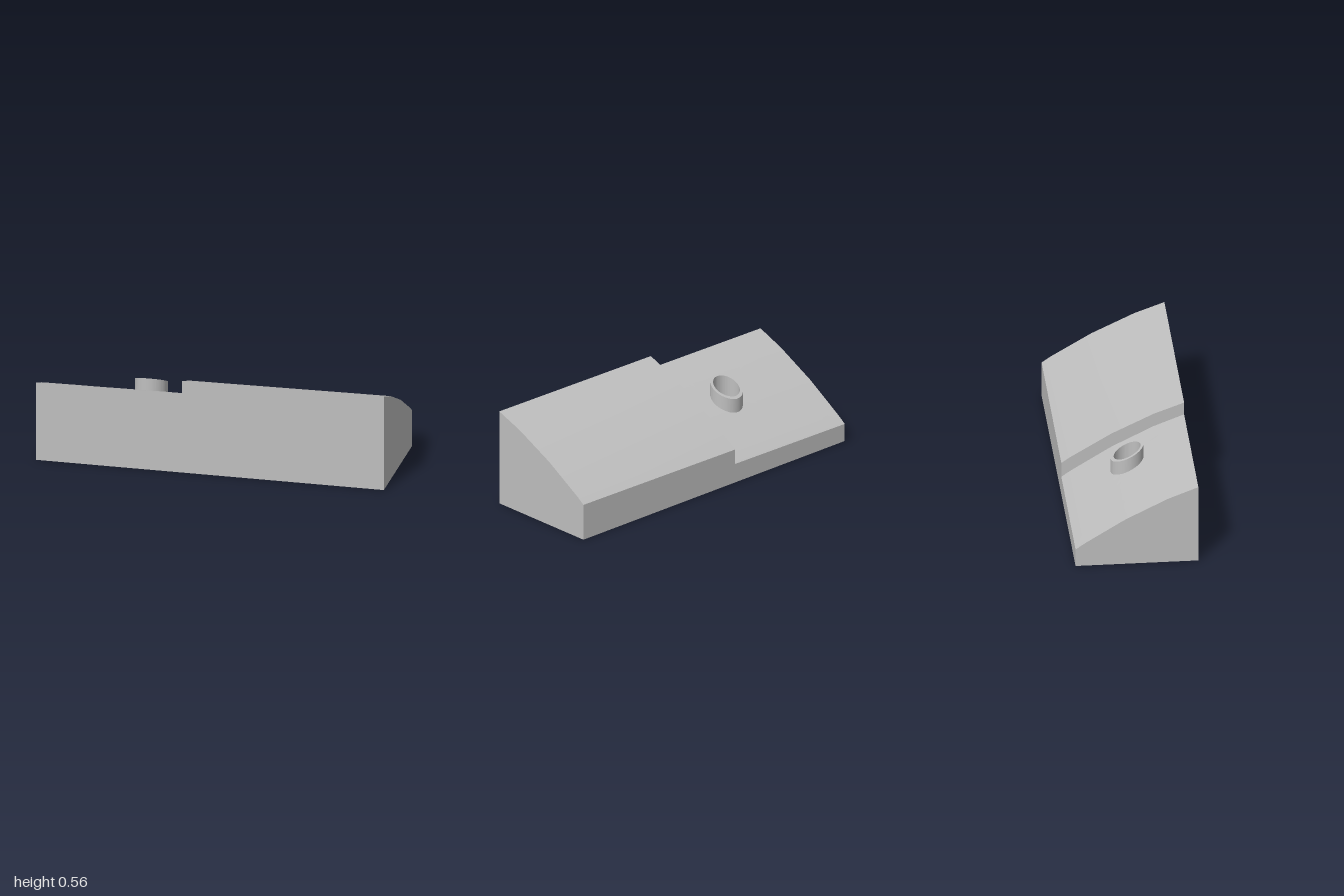
import * as THREE from 'three';
import { toCreasedNormals } from 'three/addons/utils/BufferGeometryUtils.js';

const STEP_X = -0.16, HALF_Z = 0.345;
const HOLE = { x: -0.417, inner: 0.075, outer: 0.092 };
const PROFILE = [[0.345, 0.562], [0.175, 0.5], [-0.065, 0.385], [-0.3, 0.245], [-0.345, 0.213]];
const tilt = (x) => 0.0103 * (x - 1);

// Height of the raised surface: a bent slope in z, tilted slightly in x
function highY(x, z) {
  let i = 0;
  while (i < PROFILE.length - 2 && z < PROFILE[i + 1][0]) i++;
  const [z0, y0] = PROFILE[i], [z1, y1] = PROFILE[i + 1];
  return y0 + (y1 - y0) * (z - z0) / (z1 - z0) + tilt(x);
}
// The lowered surface runs parallel beneath it
const lowY = (x, z) => highY(x, z) - (0.0815 - 0.019 * z);

// Skin closed rows of points, keeping hard edges sharp
function loft(rows) {
  const n = rows[0].length, idx = [];
  for (let r = 0; r < rows.length - 1; r++) {
    for (let j = 0; j < n; j++) {
      const k = (j + 1) % n;
      const a = r * n + j, b = r * n + k, c = (r + 1) * n + k, d = (r + 1) * n + j;
      idx.push(a, b, c, a, c, d);
    }
  }
  const geo = new THREE.BufferGeometry();
  geo.setAttribute('position', new THREE.Float32BufferAttribute(rows.flat(2), 3));
  geo.setIndex(idx);
  return toCreasedNormals(geo, 0.4);
}

export function createModel() {
  const group = new THREE.Group();
  const grey = new THREE.MeshStandardMaterial({ color: 0xbfbfbf });
  grey.name = 'light grey';
  const add = (name, geo) => {
    const mesh = new THREE.Mesh(geo, grey);
    mesh.name = name;
    group.add(mesh);
  };

  // Raised block: side profile pushed along x, then tilted
  const shape = new THREE.Shape();
  shape.moveTo(-HALF_Z, 0);
  shape.lineTo(HALF_Z, 0);
  [...PROFILE].reverse().forEach(([z, y]) => shape.lineTo(-z, y));
  const raised = new THREE.ExtrudeGeometry(shape, { depth: 1 - STEP_X, bevelEnabled: false });
  raised.rotateY(Math.PI / 2).translate(STEP_X, 0, 0);
  const p = raised.attributes.position;
  for (let i = 0; i < p.count; i++) {
    if (p.getY(i) > 0.01) p.setY(i, p.getY(i) + tilt(p.getX(i)));
  }
  add('raisedBlock', toCreasedNormals(raised, 0.4));

  // Outline of the lowered block, and matching circles round the hole
  const corners = [[-1, HALF_Z], [STEP_X, HALF_Z], [STEP_X, -HALF_Z], [-1, -HALF_Z]];
  const outline = [];
  corners.forEach(([x, z], i) => {
    const [x1, z1] = corners[(i + 1) % 4];
    for (let s = 0; s < 24; s++) outline.push([x + (x1 - x) * s / 24, z + (z1 - z) * s / 24]);
  });
  const circle = (radius) => outline.map(([x, z]) => {
    const a = Math.atan2(z, x - HOLE.x);
    return [HOLE.x + radius * Math.cos(a), radius * Math.sin(a)];
  });
  const inner = circle(HOLE.inner), outer = circle(HOLE.outer);
  const raise = (points, height) => points.map(([x, z]) => [x, height(x, z), z]);
  const floor = () => 0;

  // Lowered block: underside, walls, then the sloped top in to the tube
  const rows = [raise(inner, floor), raise(outline, floor)];
  for (let s = 0; s <= 8; s++) {
    const ring = outline.map(([x, z], j) => [
      x + (outer[j][0] - x) * s / 8,
      z + (outer[j][1] - z) * s / 8,
    ]);
    rows.push(raise(ring, lowY));
  }
  add('loweredBlock', loft(rows));

  // Tube standing on the lowered top, with its bore open right through
  add('tube', loft([raise(outer, lowY), raise(outer, highY), raise(inner, highY), raise(inner, floor)]));

  return group;
}
